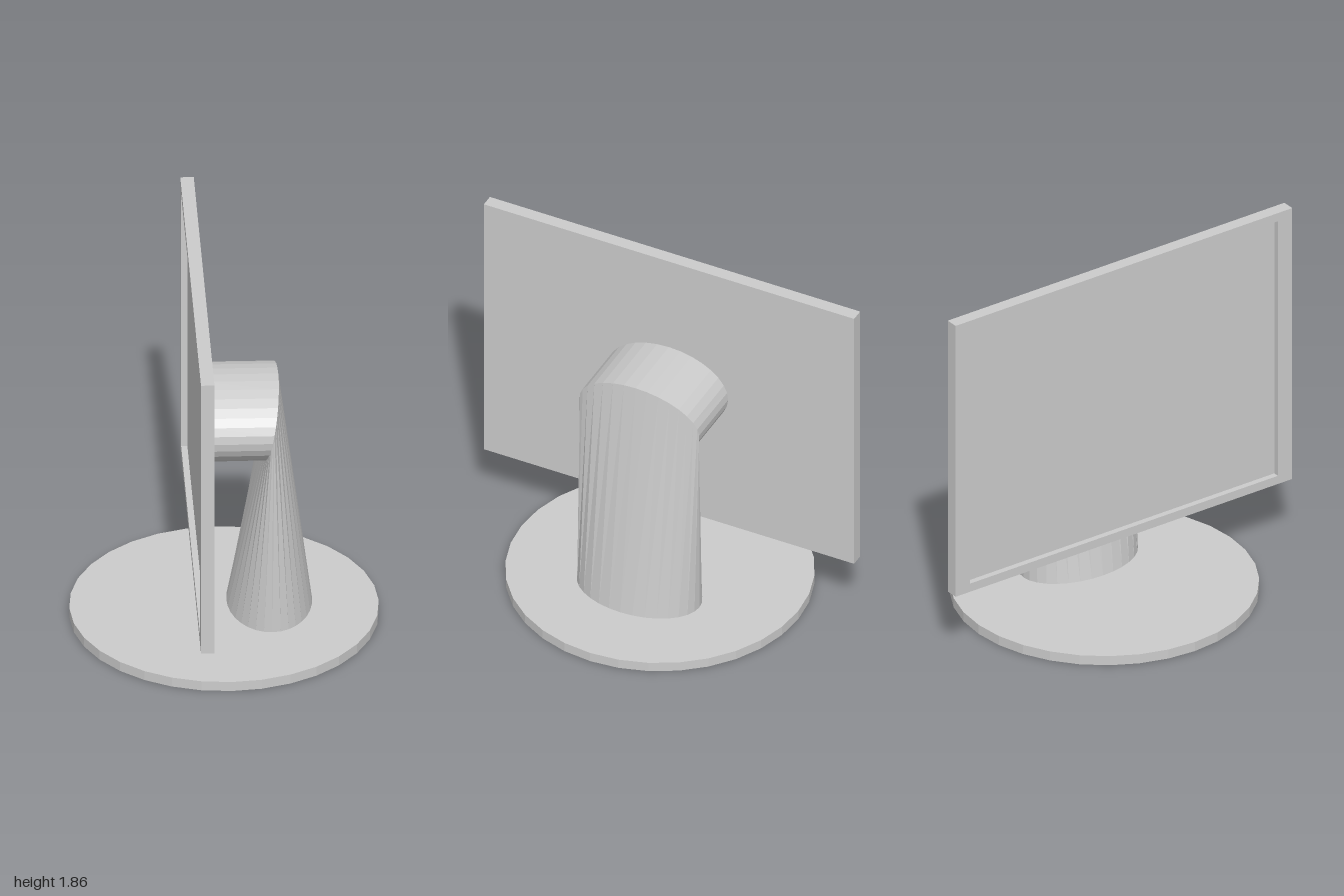
import * as THREE from 'three';

const SEG = 32;

// Closed skin through tilted ellipses; each ring is [x, y, ux, uy], its half-axis in the xy plane.
function loft(rings, halfWidth) {
  const pos = [], idx = [];
  for (const [x, y, ux, uy] of rings) {
    for (let i = 0; i < SEG; i++) {
      const t = (i / SEG) * Math.PI * 2;
      pos.push(x + ux * Math.cos(t), y + uy * Math.cos(t), -halfWidth * Math.sin(t));
    }
  }
  for (let r = 0; r < rings.length - 1; r++) {
    for (let i = 0; i < SEG; i++) {
      const j = (i + 1) % SEG;
      const a = r * SEG + i, b = r * SEG + j;
      idx.push(a, b, b + SEG, a, b + SEG, a + SEG);
    }
  }
  // end caps
  const last = (rings.length - 1) * SEG;
  for (let i = 1; i < SEG - 1; i++) {
    idx.push(0, i + 1, i);
    idx.push(last, last + i, last + i + 1);
  }
  const geo = new THREE.BufferGeometry();
  geo.setAttribute('position', new THREE.Float32BufferAttribute(pos, 3));
  geo.setIndex(idx);
  geo.computeVertexNormals();
  return geo;
}

function rect(target, w, h) {
  target.moveTo(-w / 2, -h / 2);
  target.lineTo(w / 2, -h / 2);
  target.lineTo(w / 2, h / 2);
  target.lineTo(-w / 2, h / 2);
  target.closePath();
  return target;
}

export function createModel() {
  const group = new THREE.Group();
  const mat = new THREE.MeshStandardMaterial({ color: 0xcccccc, flatShading: true });
  const add = (name, geo, x, y, z) => {
    const mesh = new THREE.Mesh(geo, mat);
    mesh.name = name;
    mesh.position.set(x, y, z);
    group.add(mesh);
  };

  // round foot
  add('base', new THREE.CylinderGeometry(0.747, 0.747, 0.05, SEG), 0, 0.025, 0);

  // upright that flattens to a mitre and turns into the mounting arm
  add('stand', loft([
    [0.218, 0.075, 0.207, 0],
    [0.22, 1.125, 0.042, 0.205],
    [-0.089, 1.127, -0.006, 0.207],
  ], 0.323), 0, 0, 0);

  // display: back panel plus a raised rim around the recessed screen, facing -x
  const h = 1.495, w = 2, midY = 1.1075, depth = 0.03;
  add('screenPanel', new THREE.BoxGeometry(0.035, h, w), -0.1135, midY, 0);
  const rim = rect(new THREE.Shape(), w, h);
  rim.holes.push(rect(new THREE.Path(), w - 0.17, h - 0.09));
  const rimGeo = new THREE.ExtrudeGeometry(rim, { depth, bevelEnabled: false });
  rimGeo.rotateY(-Math.PI / 2);
  add('screenRim', rimGeo, -0.131, midY, 0);

  return group;
}
